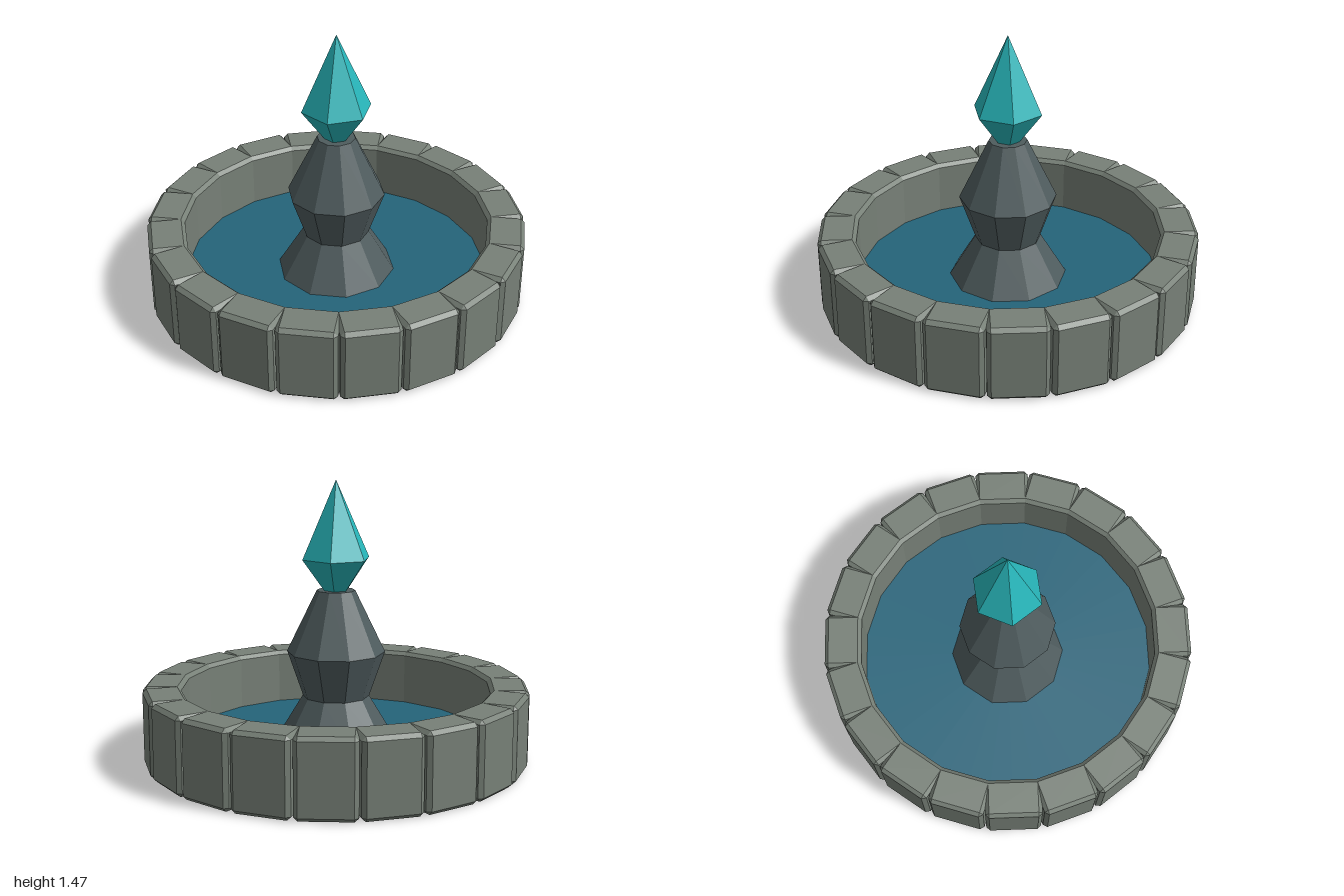
import * as THREE from 'three';
import { ConvexGeometry } from 'three/addons/geometries/ConvexGeometry.js';

const material = (name, color, extra = {}) => {
  const m = new THREE.MeshStandardMaterial({ color, flatShading: true, ...extra });
  m.name = name;
  return m;
};

// Box with every edge chamfered by c
function chamferedBox(w, h, d, c) {
  const points = [];
  for (const sx of [-1, 1]) for (const sy of [-1, 1]) for (const sz of [-1, 1]) {
    const [x, y, z] = [w / 2, h / 2, d / 2];
    points.push(
      new THREE.Vector3(sx * x, sy * (y - c), sz * (z - c)),
      new THREE.Vector3(sx * (x - c), sy * y, sz * (z - c)),
      new THREE.Vector3(sx * (x - c), sy * (y - c), sz * z));
  }
  return new ConvexGeometry(points);
}

// Faceted solid turned around y, with corners on the x axis
function turned(name, profile, sides, mat) {
  const points = profile.map(([r, y]) => new THREE.Vector2(r, y));
  const mesh = new THREE.Mesh(new THREE.LatheGeometry(points, sides, Math.PI / 2), mat);
  mesh.name = name;
  return mesh;
}

export function createModel() {
  const model = new THREE.Group();
  model.name = 'fountain';
  const stone = material('wall stone', 0x778077);
  const darkStone = material('dark stone', 0x4f5c5e);
  const water = material('water', 0x24647a, { side: THREE.DoubleSide });
  const crystalMat = material('crystal', 0x28b6ba);

  // Ring of twenty blocks
  const wall = new THREE.Group();
  wall.name = 'basinWall';
  const blockGeometry = chamferedBox(0.3, 0.403, 0.2, 0.02);
  const count = 20;
  for (let i = 0; i < count; i++) {
    const a = (i / count) * Math.PI * 2;
    const block = new THREE.Mesh(blockGeometry, stone);
    block.name = 'wallBlock';
    block.position.set(Math.sin(a) * 0.9, 0.2015, Math.cos(a) * 0.9);
    block.rotation.y = a;
    wall.add(block);
  }
  model.add(wall);

  // Water sheet
  const pool = new THREE.Mesh(new THREE.CircleGeometry(0.85, 40), water);
  pool.name = 'waterSurface';
  pool.rotation.x = -Math.PI / 2;
  pool.position.y = 0.105;
  model.add(pool);

  // Pedestal: flared foot, waist, bulge, narrow flat top
  model.add(turned('pedestal',
    [[0, 0.103], [0.315, 0.103], [0.175, 0.335], [0.257, 0.573], [0.1, 0.897], [0, 0.897]],
    10, darkStone));

  // Crystal finial
  model.add(turned('crystal',
    [[0, 0.89], [0.06, 0.89], [0.185, 1.063], [0, 1.468]], 6, crystalMat));

  return model;
}
